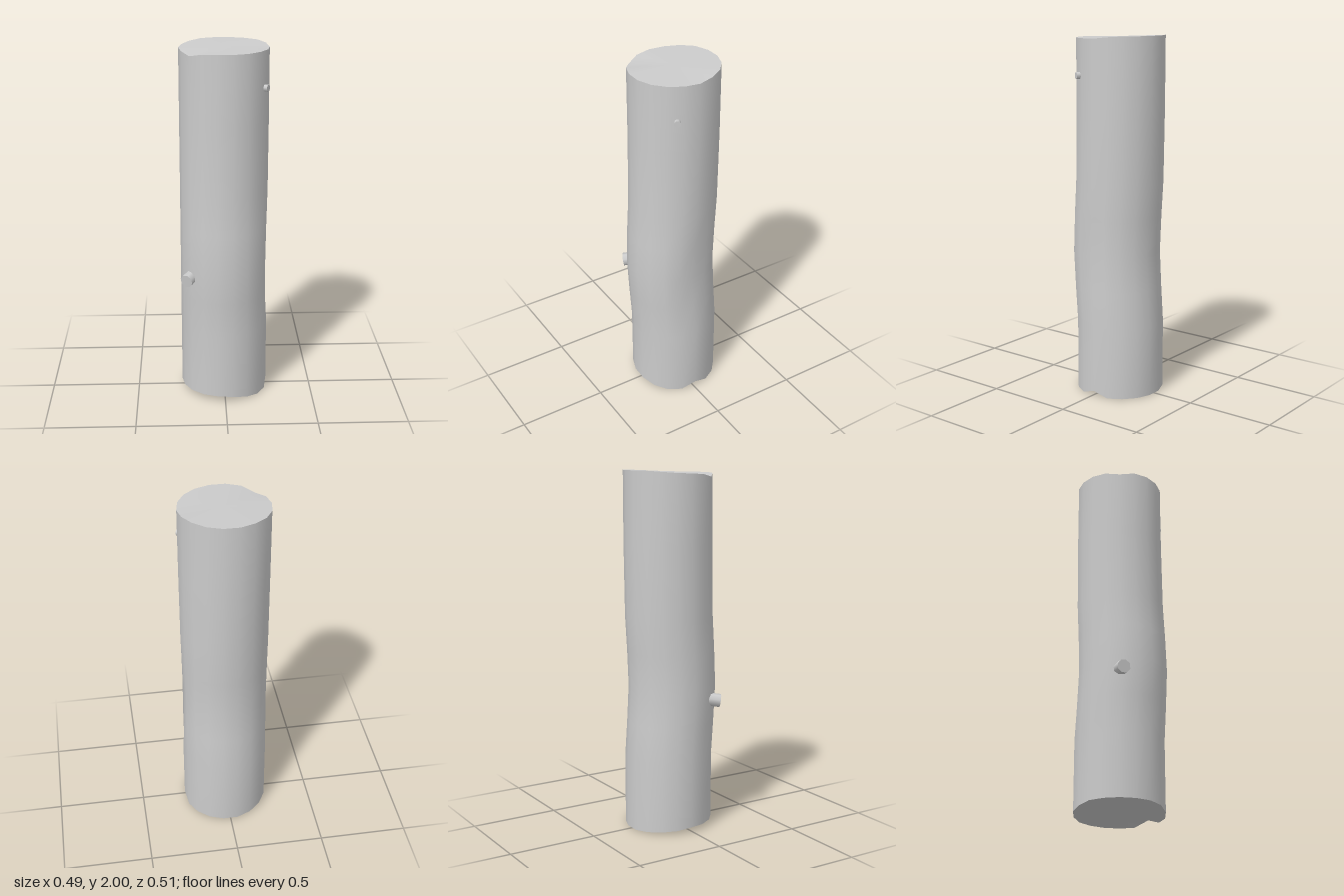
import * as THREE from 'three';

const SIDES = 18, RADIUS = 0.245;
// Bend of the log: [height, z of the centre, inward dent on the +x side]
const RINGS = [
  [0, -0.011, 0], [0.4, -0.011, 0], [0.6, 0.003, 0.012], [0.8, 0.014, 0.018],
  [1.0, 0.006, 0.01], [1.2, -0.006, 0.002], [1.6, -0.012, 0], [2, -0.013, 0],
];
// Uneven saw cuts, one value per side, starting at +x and turning to the front
const BOTTOM_LIFT = [0.03, 0, 0, 0.01, 0.025, 0.03, 0.03, 0.03, 0.03, 0.03, 0.02, 0.013, 0.006, 0, 0, 0, 0, 0];
const TOP_DROP = [0.014, 0.014, 0.014, 0.015, 0.015, 0.015, 0.018, 0.035, 0.02, 0.015, 0.012, 0.006, 0, 0, 0, 0, 0, 0.005];

const material = new THREE.MeshStandardMaterial({ color: 0xcccccc });

function ringPoint(i, k) {
  const [y, cz, dent] = RINGS[i];
  const side = k % SIDES, a = (side / SIDES) * Math.PI * 2;
  const lift = i === 0 ? BOTTOM_LIFT[side] : i === RINGS.length - 1 ? -TOP_DROP[side] : 0;
  const x = Math.min(RADIUS * Math.cos(a), RADIUS - dent);
  return [x, y + lift, cz + RADIUS * Math.sin(a)];
}

function build(points, index) {
  const g = new THREE.BufferGeometry();
  g.setAttribute('position', new THREE.Float32BufferAttribute(points.flat(), 3));
  g.setIndex(index);
  g.computeVertexNormals();
  return g;
}

// Bark: smooth wall lofted through the rings
function barkGeometry() {
  const points = [], index = [];
  for (let i = 0; i < RINGS.length; i++)
    for (let k = 0; k < SIDES; k++) points.push(ringPoint(i, k));
  for (let i = 0; i < RINGS.length - 1; i++)
    for (let k = 0; k < SIDES; k++) {
      const a = i * SIDES + k, b = i * SIDES + (k + 1) % SIDES;
      const c = a + SIDES, d = b + SIDES;
      index.push(a, c, b, b, c, d);
    }
  return build(points, index);
}

// Cut end: fan from a centre point
function endGeometry(i, y, up) {
  const points = [[0, y, RINGS[i][1]]], index = [];
  for (let k = 0; k < SIDES; k++) points.push(ringPoint(i, k));
  for (let k = 0; k < SIDES; k++) {
    const a = 1 + k, b = 1 + (k + 1) % SIDES;
    index.push(0, up ? b : a, up ? a : b);
  }
  return build(points, index);
}

// Cut branch: short cylinder whose outer face is centred on tip
function stub(name, radius, length, sides, tip, direction) {
  const g = new THREE.CylinderGeometry(radius, radius, length, sides);
  g.translate(0, -length / 2, 0);
  const m = new THREE.Mesh(g, material);
  m.name = name;
  m.quaternion.setFromUnitVectors(new THREE.Vector3(0, 1, 0), new THREE.Vector3(...direction).normalize());
  m.position.set(...tip);
  return m;
}

export function createModel() {
  const log = new THREE.Group();
  log.name = 'log';
  const add = (name, geometry) => {
    const m = new THREE.Mesh(geometry, material);
    m.name = name;
    log.add(m);
  };
  add('bark', barkGeometry());
  add('bottomCut', endGeometry(0, 0.012, false));
  add('topCut', endGeometry(RINGS.length - 1, 1.992, true));
  log.add(stub('branchStub', 0.037, 0.13, 8, [-0.215, 0.727, 0.197], [-0.5, -0.15, 0.87]));
  log.add(stub('twigStub', 0.019, 0.06, 8, [0.231, 1.787, 0.112], [0.86, 0, 0.5]));
  return log;
}
